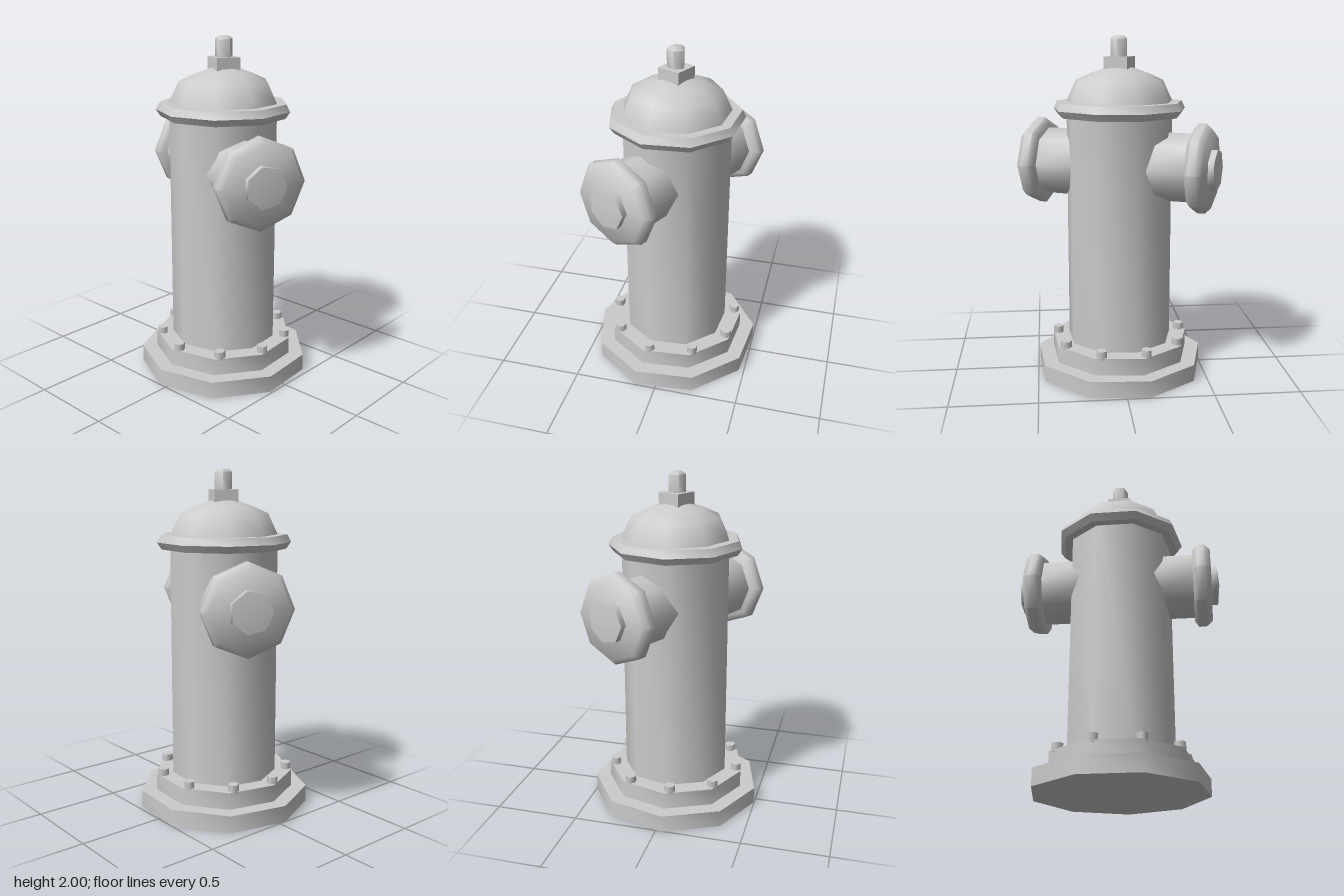
import * as THREE from 'three';
import { toCreasedNormals } from 'three/addons/utils/BufferGeometryUtils.js';

const material = new THREE.MeshStandardMaterial({ color: 0xcccccc });

function add(parent, name, geometry) {
  const mesh = new THREE.Mesh(geometry, material);
  mesh.name = name;
  parent.add(mesh);
  return mesh;
}

// Low-poly turned solid: [radius, height] pairs from bottom to top, first corner on +x
function turned(profile, sides, crease = 0.9) {
  const points = profile.map(([r, y]) => new THREE.Vector2(r, y));
  return toCreasedNormals(new THREE.LatheGeometry(points, sides, Math.PI / 2), crease);
}

export function createModel() {
  const model = new THREE.Group();
  model.name = 'fireHydrant';
  const hydrant = new THREE.Group();
  hydrant.name = 'hydrantBody';
  hydrant.rotation.y = THREE.MathUtils.degToRad(-25);
  hydrant.position.x = 0.008;
  model.add(hydrant);

  // Stepped base
  add(hydrant, 'basePlate', turned([[0, 0], [0.507, 0], [0.507, 0.1], [0, 0.1]], 9));
  add(hydrant, 'baseFlange', turned([[0, 0.09], [0.417, 0.09], [0.417, 0.2], [0, 0.2]], 9));

  // Ring of bolts on the base flange
  for (let i = 0; i < 9; i++) {
    const a = (i / 9) * Math.PI * 2 - 0.07;
    const bolt = add(hydrant, 'baseBolt', new THREE.CylinderGeometry(0.032, 0.032, 0.05, 6));
    bolt.position.set(0.38 * Math.cos(a), 0.215, 0.38 * Math.sin(a));
    bolt.rotation.y = -a;
  }

  // Barrel, rounded collar and bonnet
  add(hydrant, 'barrel', turned([[0.315, 0.19], [0.315, 1.57]], 9));
  add(hydrant, 'collar', turned(
    [[0, 1.548], [0.365, 1.548], [0.392, 1.588], [0.37, 1.63], [0, 1.63]], 9));
  add(hydrant, 'bonnet', turned(
    [[0.315, 1.62], [0.31, 1.64], [0.258, 1.75], [0.17, 1.79], [0.08, 1.822], [0, 1.83]], 9));

  // Square neck and five-sided operating nut
  add(hydrant, 'topBlock', new THREE.BoxGeometry(0.142, 0.085, 0.142)).position.y = 1.843;
  add(hydrant, 'operatingNut', turned(
    [[0.052, 1.87], [0.052, 1.985], [0.035, 2], [0, 2]], 5, 1.3));

  // Two opposite outlets, each with a pipe, a rounded cap and a cap nut
  for (const [side, turn] of [['front', 0], ['back', Math.PI]]) {
    const outlet = new THREE.Group();
    outlet.name = side + 'Outlet';
    outlet.position.y = 1.26;
    outlet.rotation.y = turn;
    hydrant.add(outlet);
    const parts = {
      Pipe: turned([[0.2, 0.15], [0.2, 0.47]], 8),
      Cap: turned([[0, 0.45], [0.228, 0.45], [0.26, 0.475], [0.26, 0.52], [0.228, 0.555], [0, 0.56]], 8),
      CapNut: turned([[0.12, 0.53], [0.12, 0.593], [0, 0.605]], 7),
    };
    for (const [name, geometry] of Object.entries(parts)) {
      add(outlet, side + name, geometry.rotateX(Math.PI / 2));
    }
  }

  return model;
}
